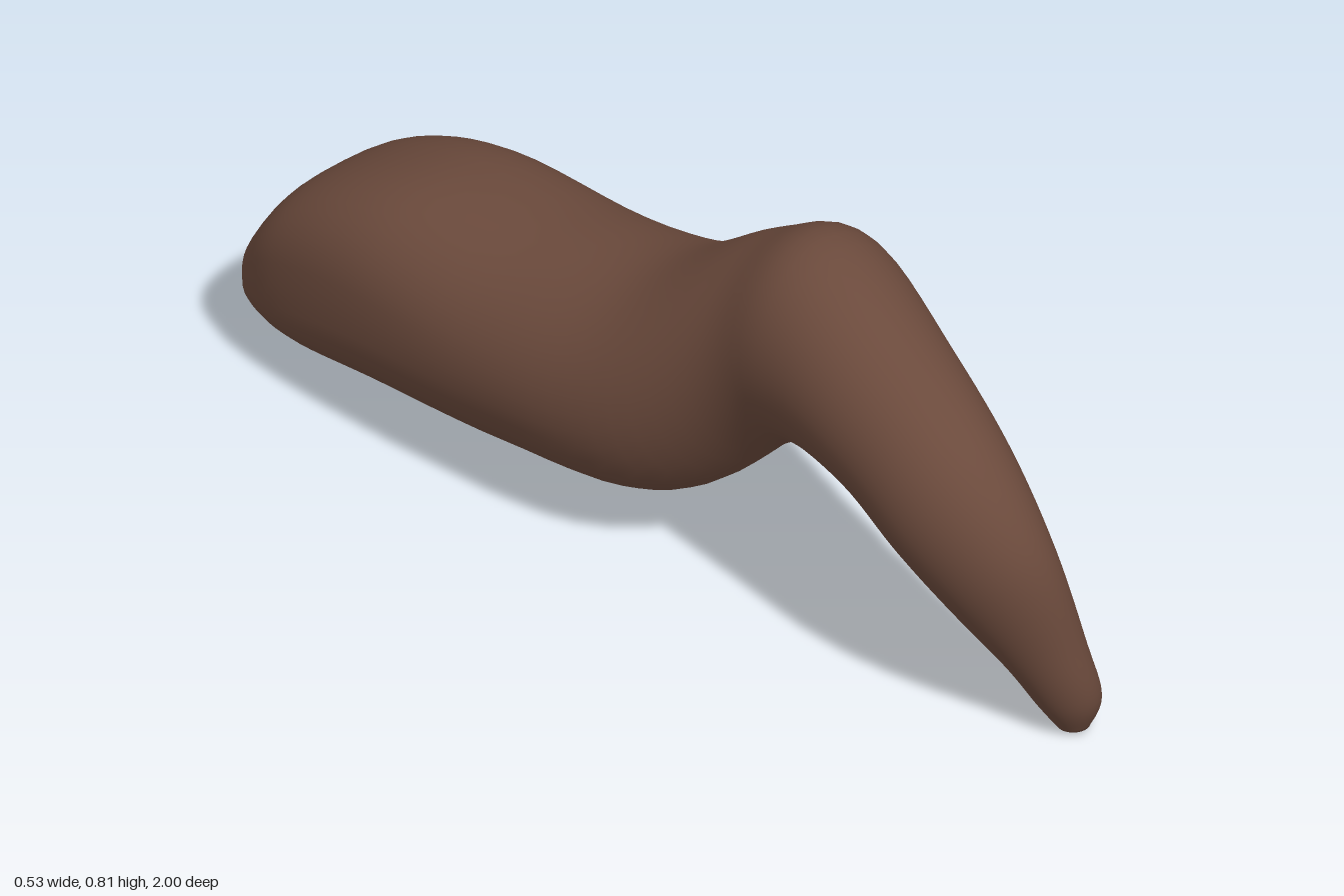
import * as THREE from 'three';

// Key cross-sections from the blunt rear to the thin front tip:
// [top z, top y, bottom z, bottom y, right x, left x]
const SECTIONS = [
  [-0.99, 0.18, -0.99, 0.08, -0.16, 0.07],
  [-0.95, 0.27, -0.945, 0.061, -0.205, 0.12],
  [-0.83, 0.41, -0.82, 0.055, -0.252, 0.17],
  [-0.6, 0.505, -0.6, 0.075, -0.27, 0.2],
  [-0.28, 0.527, -0.27, 0.077, -0.256, 0.24],
  [-0.04, 0.575, 0.04, 0.12, -0.22, 0.265],
  [0.18, 0.72, 0.26, 0.31, -0.148, 0.23],
  [0.36, 0.805, 0.39, 0.382, -0.15, 0.2],
  [0.62, 0.71, 0.56, 0.383, -0.155, 0.145],
  [0.82, 0.595, 0.69, 0.32, -0.15, 0.112],
  [0.95, 0.42, 0.77, 0.24, -0.1, 0.106],
  [0.99, 0.2, 0.84, 0.13, -0.012, 0.135],
  [0.998, 0.08, 0.875, 0.055, 0.038, 0.155],
  [0.97, 0.01, 0.908, 0.008, 0.075, 0.135],
];
const REAR_POLE = [-0.04, 0.12, -1];
const FRONT_POLE = [0.105, 0, 0.94];
const SIDES = 40;
const STEPS = 6;

// Smooth blend between neighbouring key sections
function sectionAt(i, t) {
  const last = SECTIONS.length - 1;
  const at = (k) => SECTIONS[Math.min(last, Math.max(0, k))];
  const [p, a, b, n] = [at(i - 1), at(i), at(i + 1), at(i + 2)];
  const t2 = t * t, t3 = t2 * t;
  return a.map((v, c) =>
    (2 * t3 - 3 * t2 + 1) * v + (t3 - 2 * t2 + t) * (b[c] - p[c]) / 2
    + (3 * t2 - 2 * t3) * b[c] + (t3 - t2) * (n[c] - v) / 2);
}

function loftGeometry() {
  const pos = [...REAR_POLE];
  const index = [];
  const rings = (SECTIONS.length - 1) * STEPS + 1;

  for (let r = 0; r < rings; r++) {
    const i = Math.min(Math.floor(r / STEPS), SECTIONS.length - 2);
    const [zt, yt, zb, yb, x0, x1] = sectionAt(i, r / STEPS - i);
    // The rear is squarer, the rest is elliptical
    const power = 2 / (2.75 - 0.75 * THREE.MathUtils.smoothstep(zt, -0.85, -0.2));
    const round = (v) => Math.sign(v) * Math.abs(v) ** power;
    for (let s = 0; s < SIDES; s++) {
      const a = (s / SIDES) * Math.PI * 2;
      const u = round(Math.cos(a)), v = round(Math.sin(a));
      pos.push(
        (x0 + x1) / 2 + u * (x1 - x0) / 2,
        (yt + yb) / 2 + v * (yt - yb) / 2,
        (zt + zb) / 2 + v * (zt - zb) / 2,
      );
    }
  }
  pos.push(...FRONT_POLE);

  // Skin between rings, closed at both ends
  const id = (r, s) => 1 + r * SIDES + (s % SIDES);
  const tip = 1 + rings * SIDES;
  for (let s = 0; s < SIDES; s++) {
    index.push(0, id(0, s + 1), id(0, s));
    for (let r = 0; r < rings - 1; r++) {
      index.push(id(r, s), id(r, s + 1), id(r + 1, s));
      index.push(id(r, s + 1), id(r + 1, s + 1), id(r + 1, s));
    }
    index.push(tip, id(rings - 1, s), id(rings - 1, s + 1));
  }

  const g = new THREE.BufferGeometry();
  g.setAttribute('position', new THREE.Float32BufferAttribute(pos, 3));
  g.setIndex(index);
  g.computeVertexNormals();
  return g;
}

export function createModel() {
  const brown = new THREE.MeshStandardMaterial({ color: 0x6b4a3c });
  brown.name = 'brown';
  const model = new THREE.Group();
  model.name = 'curvedForm';
  const body = new THREE.Mesh(loftGeometry(), brown);
  body.name = 'taperedBody';
  model.add(body);
  return model;
}
